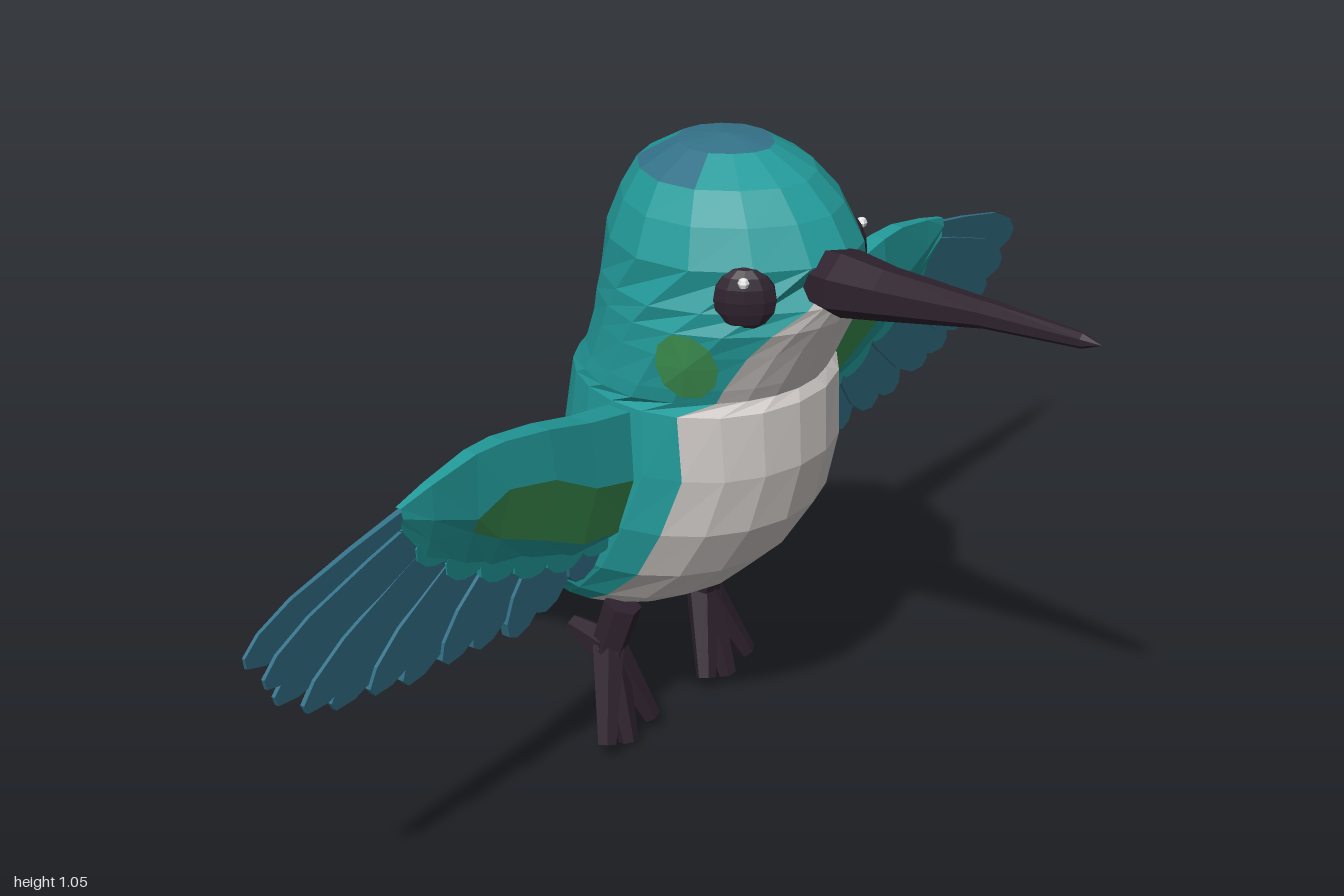
import * as THREE from 'three';

const mat = (name, color) => {
  const m = new THREE.MeshStandardMaterial({ color });
  m.name = name;
  return m;
};
const V = (x, y, z) => new THREE.Vector3(x, y, z);
const TAU = Math.PI * 2;

// Unshared vertices give every face its own flat normal
function flat(geo) {
  const g = geo.index ? geo.toNonIndexed() : geo;
  g.computeVertexNormals();
  return g;
}

// Skin between successive rows of points
function loft(rows) {
  const pts = [];
  for (let i = 0; i < rows.length - 1; i++) {
    const u = rows[i], l = rows[i + 1];
    for (let j = 0; j < u.length - 1; j++) {
      pts.push(u[j], l[j], u[j + 1], u[j + 1], l[j], l[j + 1]);
    }
  }
  return flat(new THREE.BufferGeometry().setFromPoints(pts));
}

// Elliptical sections along z: [z, x, y, rx, ry]; dir is the sign of travel along z
function spindle(sections, dir, sides) {
  return loft(sections.map(([z, x, y, rx, ry]) => Array.from({ length: sides + 1 }, (_, j) => {
    const t = j / sides * TAU;
    return V(x + rx * Math.cos(t), y - dir * ry * Math.sin(t), z);
  })));
}

// Tapered rod between two points
function rod(a, b, ra, rb) {
  const d = b.clone().sub(a);
  const g = new THREE.CylinderGeometry(rb, ra, d.length(), 6);
  g.applyQuaternion(new THREE.Quaternion().setFromUnitVectors(V(0, 1, 0), d.clone().normalize()));
  const m = a.clone().add(b).multiplyScalar(0.5);
  return flat(g.translate(m.x, m.y, m.z));
}

// Body sections: y, front z, back z, half width, half angle of the pale front
const BODY = [
  [1.052, -0.04, -0.05, 0, 0], [1.042, 0.03, -0.13, 0.075, 0], [1.005, 0.1, -0.195, 0.138, 0],
  [0.96, 0.145, -0.22, 0.175, 0], [0.9, 0.18, -0.245, 0.199, 0], [0.835, 0.187, -0.257, 0.206, 0.5],
  [0.8, 0.173, -0.262, 0.208, 0.68], [0.76, 0.15, -0.266, 0.208, 0.78], [0.7, 0.12, -0.285, 0.206, 0.85],
  [0.675, 0.106, -0.3, 0.204, 0.85], [0.658, 0.118, -0.315, 0.205, 1.12], [0.55, 0.12, -0.335, 0.21, 1.06],
  [0.45, 0.095, -0.375, 0.215, 1.1], [0.36, 0.035, -0.415, 0.205, 1.1], [0.29, -0.04, -0.44, 0.175, 1.2],
  [0.24, -0.13, -0.44, 0.125, 1.3], [0.235, -0.3, -0.3, 0, 1.3],
];

// The head narrows toward the beak, the chest is broad, the rump narrows toward the tail
function ringPoint([y, zf, zb, w], t, grow = 1) {
  const c = Math.cos(t);
  const front = y > 0.82 ? -0.2 : y > 0.67 ? -0.06 : 0.1;
  const back = y > 0.4 ? 0.1 : 0.24;
  const pinch = 1 + (c > 0 ? front : back) * c;
  return V(grow * w * Math.sin(t) * pinch, y, (zf + zb) / 2 + grow * (zf - zb) / 2 * c);
}

function bodyPoint(y, t, grow) {
  const i = Math.max(1, BODY.findIndex(r => r[0] <= y));
  const a = BODY[i - 1], b = BODY[i], f = (a[0] - y) / (a[0] - b[0]);
  return ringPoint(a.map((v, k) => v + (b[k] - v) * f), t, grow);
}

// Part of the body between two angles, which may depend on the ring
const bodySkin = (from, to, start, end, n) => loft(BODY.slice(from, to + 1).map(r =>
  Array.from({ length: n + 1 }, (_, j) => ringPoint(r, start(r) + (end(r) - start(r)) * j / n))));

// Part of a crown ring between two of fourteen steps
const crownSkin = (from, a, b) => bodySkin(from, from + 1, () => a * TAU / 14, () => b * TAU / 14, b - a);

// The wing leans back toward the bottom
const wingZ = y => -0.1 - 0.17 * (0.7 - y);

// Feather blade from root to tip, thinning outward
function feather([x0, y0], [x1, y1], w, s, thick, offset) {
  const len = Math.hypot(x1 - x0, y1 - y0);
  const nx = -(y1 - y0) / len, ny = (x1 - x0) / len;
  const profile = [[0, 0.3], [0.45, 0.46], [0.75, 0.5], [0.92, 0.36], [1, 0.12]];
  const side = k => profile.map(([f, h]) => new THREE.Vector2(
    s * (x0 + (x1 - x0) * f + nx * k * h * w), y0 + (y1 - y0) * f + ny * k * h * w));
  const shape = new THREE.Shape([...side(1), ...side(-1).reverse()]);
  const g = new THREE.ExtrudeGeometry(shape, { depth: 1, bevelEnabled: false, steps: 1 });
  const p = g.attributes.position;
  for (let i = 0; i < p.count; i++) {
    const half = thick * (1.3 - Math.abs(p.getX(i)));
    p.setZ(i, wingZ(p.getY(i)) + offset + (p.getZ(i) * 2 - 1) * half);
  }
  return flat(g);
}

// Wing arm sections: x, top y, band top y, band bottom y, bottom y, half thickness
const ARM = [[0.18, 0.645, 0.53, 0.435, 0.41, 0.052], [0.3, 0.668, 0.56, 0.455, 0.42, 0.048],
  [0.4, 0.695, 0.615, 0.505, 0.46, 0.042], [0.5, 0.714, 0.638, 0.55, 0.49, 0.034],
  [0.56, 0.716, 0.61, 0.585, 0.52, 0.028], [0.65, 0.7, 0.645, 0.61, 0.58, 0.019],
  [0.71, 0.685, 0.67, 0.66, 0.65, 0.011]];

// Strip of the arm skin between two corners (0-3 down the front, 4-7 up the back)
function armSkin(s, sections, from, to) {
  return loft(sections.map(([x, top, b1, b2, low, h]) => {
    const ys = [top, b1, b2, low], hs = [0.45 * h, h, 0.75 * h, 0.011];
    const row = [];
    for (let c = from; c <= to; c++) {
      const k = c % 8, i = k < 4 ? k : 7 - k;
      row.push(V(s * x, ys[i], wingZ(ys[i]) + (k < 4 ? 1 : -1) * hs[i]));
    }
    return s > 0 ? row.reverse() : row;
  }));
}

const FEATHER_TIPS = [[1, 0.56], [0.965, 0.51], [0.935, 0.465], [0.88, 0.425], [0.815, 0.395], [0.74, 0.385],
  [0.66, 0.36], [0.58, 0.36], [0.5, 0.345], [0.42, 0.33], [0.345, 0.34], [0.265, 0.365]];
const COVERT_TIPS = [[0.25, 0.405], [0.33, 0.41], [0.41, 0.435], [0.49, 0.465], [0.57, 0.505], [0.64, 0.56]];

export function createModel() {
  const teal = mat('teal plumage', 0x239a9a);
  const blue = mat('blue feathers', 0x347289);
  const green = mat('green patches', 0x3c8f50);
  const pale = mat('pale belly', 0xcdc8c5);
  const dark = mat('dark beak and feet', 0x2e222e);
  const white = mat('eye glint', 0xf4f4f4);

  const model = new THREE.Group();
  model.name = 'bird';
  const add = (parent, name, geo, material) => {
    const m = new THREE.Mesh(geo, material);
    m.name = name;
    parent.add(m);
    return m;
  };

  // Crown: blue cap and sides, teal forehead and nape
  add(model, 'crownCap', crownSkin(0, 0, 14), blue);
  add(model, 'forehead', crownSkin(1, -3, 3), teal);
  add(model, 'crownSideLeft', crownSkin(1, 3, 6), blue);
  add(model, 'nape', crownSkin(1, 6, 8), teal);
  add(model, 'crownSideRight', crownSkin(1, 8, 11), blue);

  // Head and body: teal coat with pale throat and belly
  const last = BODY.length - 1;
  add(model, 'coat', bodySkin(2, last, r => r[4], r => TAU - r[4], 14), teal);
  add(model, 'belly', bodySkin(4, last, r => -r[4], r => r[4], 7), pale);

  // Beak, bent slightly to the right
  add(model, 'beak', spindle([[0.12, -0.02, 0.87, 0.05, 0.045], [0.19, -0.026, 0.87, 0.06, 0.053],
    [0.27, -0.035, 0.875, 0.045, 0.042], [0.45, -0.052, 0.893, 0.027, 0.022],
    [0.62, -0.068, 0.899, 0.012, 0.012], [0.652, -0.071, 0.9, 0, 0]], 1, 7), dark);

  // Tail with blue tips
  add(model, 'tail', spindle([[-0.28, 0, 0.36, 0.15, 0.11], [-0.37, 0, 0.32, 0.115, 0.08],
    [-0.45, 0, 0.28, 0.093, 0.045], [-0.53, 0, 0.235, 0.088, 0.028],
    [-0.575, 0, 0.207, 0.08, 0.018], [-0.58, 0, 0.203, 0, 0]], -1, 10), teal);
  for (const [x, end] of [[-0.052, -0.625], [-0.02, -0.655], [0.02, -0.65], [0.052, -0.62]]) {
    const y = 0.152 + (end + 0.655) * 0.7;
    add(model, 'tailTip', spindle([[-0.55, x, 0.222, 0.028, 0.014], [-0.6, x * 0.95, 0.188, 0.027, 0.016],
      [end, x * 0.9, y, 0.013, 0.005], [end, x * 0.9, y, 0, 0]], -1, 6), blue);
  }

  for (const s of [1, -1]) {
    const side = s > 0 ? 'left' : 'right';

    // Eye with glint
    const eye = add(model, side + 'Eye', flat(new THREE.SphereGeometry(1, 10, 8)), dark);
    eye.scale.set(0.024, 0.052, 0.05);
    eye.position.set(s * 0.138, 0.857, 0.085);
    eye.rotation.y = -s * 0.6;
    const glint = add(model, side + 'EyeGlint', flat(new THREE.SphereGeometry(0.009, 6, 4)), white);
    glint.position.set(s * 0.157, 0.89, 0.096);

    // Green cheek patch hugging the head
    const rim = Array.from({ length: 11 }, (_, j) => {
      const a = j / 10 * TAU;
      return bodyPoint(0.745 + 0.058 * Math.sin(a), s * (1.19 + 0.23 * Math.cos(a) + 0.13 * Math.sin(a)), 1.025);
    });
    const mid = rim.map(() => bodyPoint(0.745, s * 1.19, 1.045));
    add(model, side + 'Cheek', loft(s > 0 ? [mid, rim] : [rim, mid]), green);

    // Wing: thick teal arm with a green band, over fans of teal and blue feathers
    const wing = new THREE.Group();
    wing.name = side + 'Wing';
    model.add(wing);
    add(wing, 'armBottom', armSkin(s, ARM, 2, 5), teal);
    add(wing, 'armTop', armSkin(s, ARM, 6, 9), teal);
    for (const c of [1, 5]) {
      add(wing, 'wingBand', armSkin(s, ARM.slice(0, 5), c, c + 1), green);
      add(wing, 'armTip', armSkin(s, ARM.slice(4), c, c + 1), teal);
    }
    FEATHER_TIPS.forEach((tip, i) => {
      const f = i / (FEATHER_TIPS.length - 1);
      const root = [0.62 - 0.38 * f, 0.668 - 0.128 * f];
      add(wing, 'flightFeather', feather(root, tip, 0.085, s, 0.009, (i % 2 - 0.5) * 0.006), blue);
    });
    for (const [x, y] of COVERT_TIPS) {
      add(wing, 'covertFeather', feather([x - 0.04, y + 0.1], [x, y], 0.095, s, 0.017, 0), teal);
    }

    // Leg and toes
    const foot = new THREE.Group();
    foot.name = side + 'Foot';
    model.add(foot);
    const ankle = V(s * 0.13, 0.165, -0.2);
    add(foot, 'leg', rod(V(s * 0.12, 0.25, -0.175), ankle, 0.032, 0.03), dark);
    const toes = [[0.078, 0.025, -0.155], [0.138, 0.006, -0.155], [0.195, 0.025, -0.155], [0.13, 0.185, -0.275]];
    for (const [x, y, z] of toes) {
      add(foot, 'toe', rod(ankle.clone().add(V(0, 0.005, 0)), V(s * x, y, z), 0.03, 0.017), dark);
    }
  }
  return model;
}
